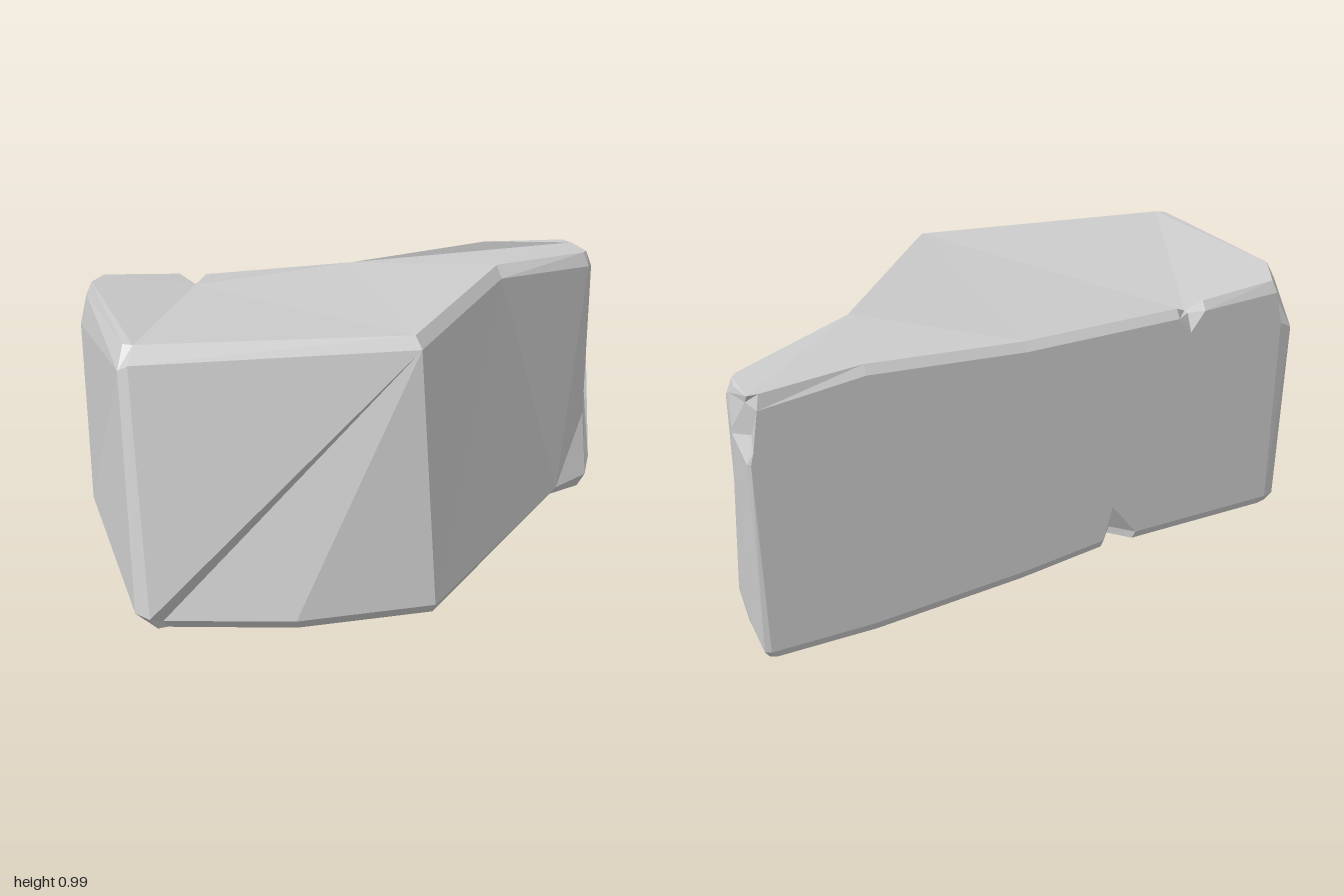
import * as THREE from 'three';

// One vertical run of corners, from ground to top. Low and shoulder corners
// differ from foot and upper only where a corner of the rock is chipped.
function column(foot, upper, top, { low = foot, shoulder = upper, bottom } = {}) {
  const [x, y, z] = foot;
  const ground = bottom ?? (z > -0.4 ? [x * 0.98, 0, z - 0.03] : [x * 0.98, y - 0.03, z + 0.01]);
  return [ground, foot, low, shoulder, upper, top];
}

function rockGeometry(columns) {
  const positions = [];
  const same = (a, b) => a.every((v, i) => v === b[i]);
  const triangle = (a, b, c) => {
    if (!same(a, b) && !same(b, c) && !same(c, a)) positions.push(...a, ...b, ...c);
  };

  // Walls between neighbouring columns
  columns.forEach((a, i) => {
    const b = columns[(i + 1) % columns.length];
    for (let k = 0; k < a.length - 1; k++) {
      triangle(a[k], b[k], b[k + 1]);
      triangle(a[k], b[k + 1], a[k + 1]);
    }
  });

  // Top and underside
  const cap = (ring, up) => {
    const outline = ring.map(([x, , z]) => new THREE.Vector2(x, -z));
    for (const [i, j, k] of THREE.ShapeUtils.triangulateShape(outline, [])) {
      const area = THREE.ShapeUtils.area([outline[i], outline[j], outline[k]]);
      if ((area > 0) === up) triangle(ring[i], ring[j], ring[k]);
      else triangle(ring[i], ring[k], ring[j]);
    }
  };
  cap(columns.map((c) => c[5]), true);
  cap(columns.map((c) => c[0]), false);

  const geometry = new THREE.BufferGeometry();
  geometry.setAttribute('position', new THREE.Float32BufferAttribute(positions, 3));
  geometry.computeVertexNormals();
  return geometry;
}

export function createModel() {
  // Front: the undercut facets all meet at the central peak
  const peak = [-0.01, 0.91, 0.45];
  const peakTop = [-0.02, 0.95, 0.41];
  const front = [
    column([-0.96, 0.11, 0.52], [-0.95, 0.9, 0.29], [-0.92, 0.95, 0.23], { bottom: [-0.92, 0.02, 0.42] }),
    column([-0.9, 0.04, 0.41], peak, peakTop),
    column([-0.48, 0.04, 0.55], peak, peakTop),
    column([0, 0.04, 0.58], peak, peakTop),
    column([0.8, 0.04, -0.22], [0.51, 0.95, -0.15], [0.51, 0.99, -0.2]),
  ];

  // The +x end, with a chip low in front and one high at the back
  const leftEnd = [
    column([0.95, 0.06, -0.27], [0.96, 0.91, -0.35], [0.95, 0.96, -0.38], { low: [0.96, 0.3, -0.34] }),
    column([0.98, 0.12, -0.31], [0.99, 0.9, -0.39], [0.97, 0.96, -0.4], { low: [0.99, 0.41, -0.41] }),
    column([0.98, 0.05, -0.45], [0.99, 0.92, -0.42], [0.98, 0.95, -0.44], { low: [1, 0.8, -0.46], shoulder: [1, 0.82, -0.46] }),
    column([0.98, 0.03, -0.56], [0.97, 0.93, -0.52], [0.97, 0.96, -0.54], { low: [0.99, 0.74, -0.56], shoulder: [0.96, 0.82, -0.53] }),
    column([0.96, 0.03, -0.57], [0.95, 0.92, -0.57], [0.94, 0.97, -0.56], { low: [0.98, 0.74, -0.57], shoulder: [0.97, 0.78, -0.57] }),
  ];

  // Back wall, its foot rising towards -x, with a nick in the bottom and top edges
  const back = [0.6, 0.05, -0.27, -0.33, -0.4, -0.52, -0.57, -0.62].map((x) => {
    const topY = x > 0.5 ? 0.99 : x > -0.6 ? 0.95 : 0.96;
    const footY = x > 0.5 ? 0.03 : x > 0 ? 0.07 : 0.11;
    const footNick = x === -0.33;
    const topNick = x === -0.57;
    return column(
      [x, footY, footNick ? -0.5 : -0.57],
      [x, topY - 0.03, topNick ? -0.54 : -0.57],
      [x, topNick ? 0.92 : topY, topNick ? -0.52 : -0.55],
      { low: footNick ? [-0.3, 0.24, -0.57] : undefined, shoulder: topNick ? [x, 0.86, -0.57] : undefined },
    );
  });

  // The -x end, with a chipped upper back corner
  const rightEnd = [
    column([-0.95, 0.11, -0.57], [-0.91, 0.94, -0.57], [-0.9, 0.98, -0.55], { shoulder: [-0.94, 0.82, -0.57] }),
    column([-0.99, 0.11, -0.56], [-0.94, 0.91, -0.52], [-0.93, 0.97, -0.5], { shoulder: [-0.99, 0.79, -0.56] }),
    column([-1, 0.11, -0.53], [-0.98, 0.94, -0.45], [-0.96, 0.99, -0.43], { shoulder: [-1, 0.81, -0.52] }),
    column([-1, 0.12, 0.48], [-0.98, 0.88, 0.27], [-0.95, 0.95, 0.21], { bottom: [-0.95, 0.04, 0.4] }),
  ];

  const rock = new THREE.Mesh(
    rockGeometry([...front, ...leftEnd, ...back, ...rightEnd]),
    new THREE.MeshStandardMaterial({ color: 0xcccccc, flatShading: true }),
  );
  rock.name = 'rock';

  const group = new THREE.Group();
  group.name = 'chippedRock';
  group.add(rock);
  return group;
}
